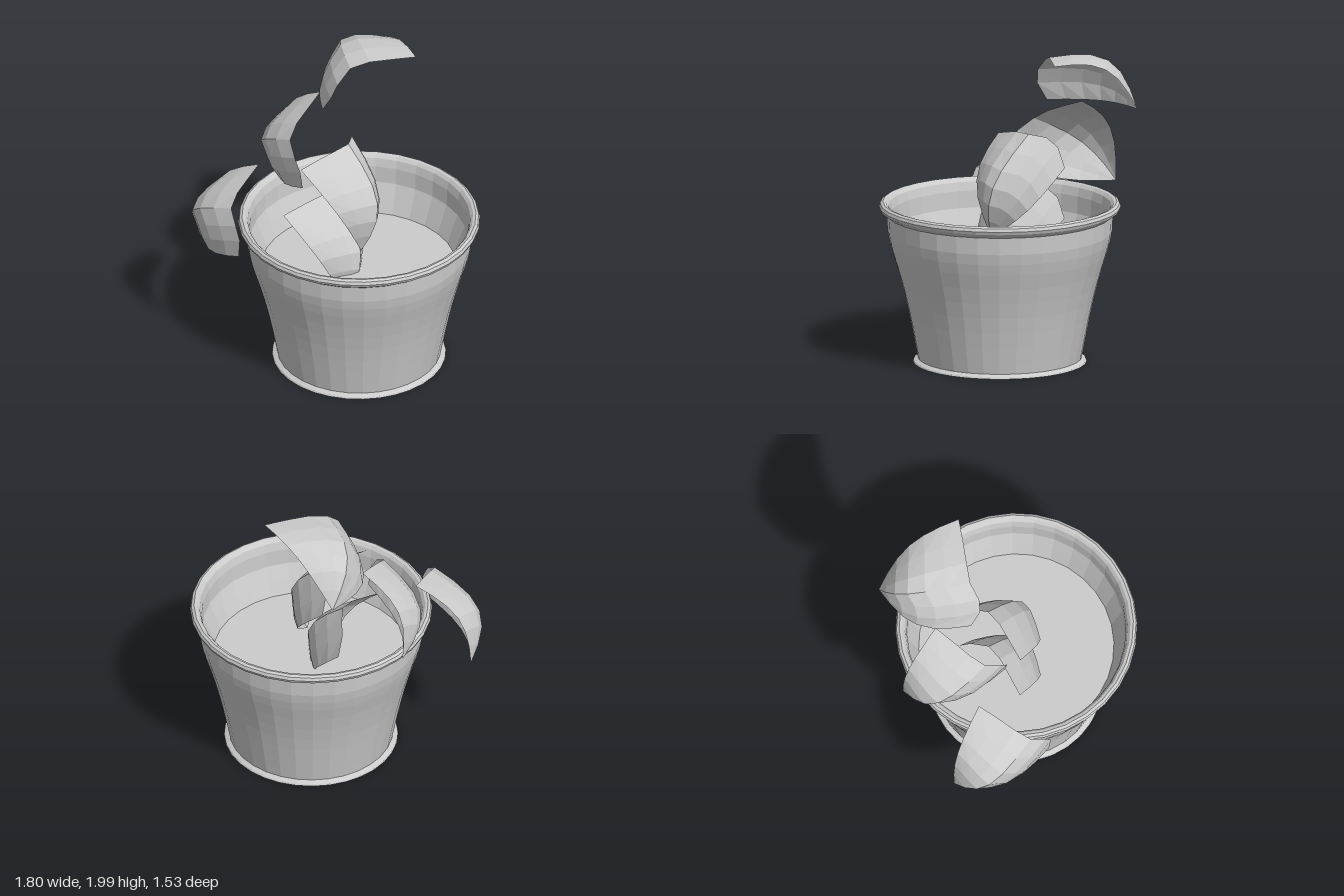
import * as THREE from 'three';

const grey = new THREE.MeshStandardMaterial({ color: 0xcccccc, flatShading: true, side: THREE.DoubleSide });
grey.name = 'light grey';

// Ribs of a shell from its side edge to its top edge: rim point, then arch of the rib,
// both as (along tip-top, along tip-side, outward) measured from the tip
const ribs = [
  [[0, 1, 0], [-0.168, 0.082, 0.068]],
  [[0.2, 0.95, 0.06], [-0.16, 0.05, 0.115]],
  [[0.34, 0.84, 0.12], [-0.115, 0, 0.138]],
  [[0.49, 0.63, 0.165], [-0.07, -0.06, 0.165]],
  [[0.66, 0.43, 0.135], [-0.01, -0.09, 0.165]],
  [[0.83, 0.22, 0.07], [0.05, -0.125, 0.14]],
  [[1, 0, 0], [0.093, -0.147, 0.106]],
].map(rib => rib.map(v => new THREE.Vector3(...v)));

// Curved shell: arched ribs fan out from the tip to a boxy rounded rim between side and top corners
function makeShell(name, corners, rows = 6) {
  const [tip, side, top] = corners.map(c => new THREE.Vector3(...c));
  const alongTop = top.clone().sub(tip), alongSide = side.clone().sub(tip);
  const size = (alongTop.length() + alongSide.length() + top.distanceTo(side)) / 2.02;
  const outward = alongSide.clone().cross(alongTop).setLength(size);
  const frame = new THREE.Matrix4().makeBasis(alongTop, alongSide, outward).setPosition(tip);
  const position = [], index = [];
  for (let i = 0; i <= rows; i++) {
    const s = i / rows;
    ribs.forEach(([rim, arch], j) => {
      const p = rim.clone().multiplyScalar(s)
        .addScaledVector(arch, Math.sin(Math.PI * s))
        .applyMatrix4(frame);
      position.push(p.x, p.y, p.z);
      if (i < rows && j < ribs.length - 1) {
        const k = i * ribs.length + j, next = k + ribs.length;
        index.push(k, next, next + 1);
        if (i > 0) index.push(k, next + 1, k + 1);
      }
    });
  }
  const geometry = new THREE.BufferGeometry();
  geometry.setAttribute('position', new THREE.Float32BufferAttribute(position, 3));
  geometry.setIndex(index);
  geometry.computeVertexNormals();
  const mesh = new THREE.Mesh(geometry, grey);
  mesh.name = name;
  return mesh;
}

export function createModel() {
  const group = new THREE.Group();
  group.name = 'bucketWithShells';

  // Bucket: base, flared wall, rolled rim, inner wall and raised floor
  const profile = [
    [0, 0], [0.55, 0], [0.545, 0.01], [0.518, 0.025], [0.532, 0.1], [0.551, 0.2],
    [0.571, 0.3], [0.593, 0.4], [0.618, 0.5], [0.646, 0.6], [0.677, 0.7], [0.696, 0.77], [0.71, 0.84],
    [0.715, 0.95], [0.735, 0.965], [0.757, 0.98], [0.765, 1.0], [0.757, 1.02], [0.74, 1.03],
    [0.722, 1.025], [0.705, 1.005], [0.692, 0.95], [0.688, 0.84], [0.65, 0.74], [0.617, 0.65], [0, 0.65],
  ].map(([r, y]) => new THREE.Vector2(r, y));
  const bucket = new THREE.Mesh(new THREE.LatheGeometry(profile, 32), grey);
  bucket.name = 'bucket';
  bucket.position.x = 0.13;
  group.add(bucket);

  // Shells tumbling out of the bucket: tip, side and top corner of each
  const shells = {
    topShell: [[-0.31, 1.64, -0.75], [-0.215, 1.64, -0.125], [0.25, 1.985, -0.5]],
    upperShell: [[-0.635, 1.07, -0.37], [-0.21, 1.19, 0.125], [-0.34, 1.63, -0.31]],
    outerShell: [[-0.89, 0.73, 0.165], [-0.41, 0.857, 0.575], [-0.53, 1.265, 0.13]],
    middleShell: [[0.17, 0.8, 0.04], [-0.085, 1.25, -0.35], [-0.17, 1.39, 0.215]],
    innerShell: [[0.08, 0.44, 0.1], [-0.17, 0.9, -0.29], [-0.265, 1.045, 0.27]],
  };
  for (const [name, corners] of Object.entries(shells)) group.add(makeShell(name, corners));

  return group;
}
